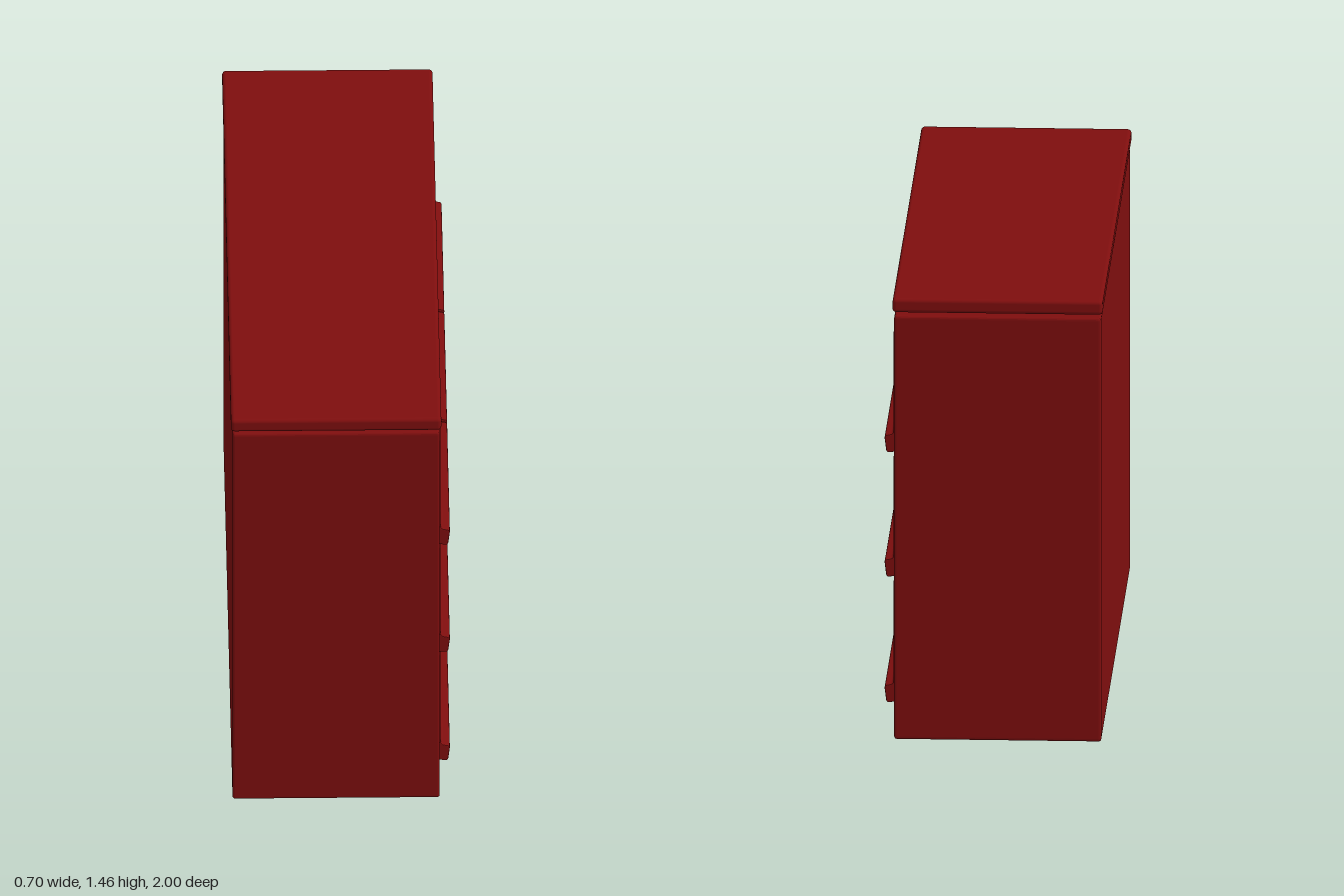
import * as THREE from 'three';
import { RoundedBoxGeometry } from 'three/addons/geometries/RoundedBoxGeometry.js';

const material = new THREE.MeshStandardMaterial({ color: 0x7f0e0e });

function add(parent, name, geometry, x = 0, y = 0, z = 0) {
  const mesh = new THREE.Mesh(geometry, material);
  mesh.name = name;
  mesh.position.set(x, y, z);
  parent.add(mesh);
  return mesh;
}

// Rounded block given by its limits on each axis
function block(parent, name, [x0, x1], [y0, y1], [z0, z1], radius) {
  const geometry = new RoundedBoxGeometry(x1 - x0, y1 - y0, z1 - z0, 3, radius);
  return add(parent, name, geometry, (x0 + x1) / 2, (y0 + y1) / 2, (z0 + z1) / 2);
}

function roundedRect(path, w, y0, y1, r) {
  path.moveTo(-w + r, y0);
  path.lineTo(w - r, y0);
  path.quadraticCurveTo(w, y0, w, y0 + r);
  path.lineTo(w, y1 - r);
  path.quadraticCurveTo(w, y1, w - r, y1);
  path.lineTo(-w + r, y1);
  path.quadraticCurveTo(-w, y1, -w, y1 - r);
  path.lineTo(-w, y0 + r);
  path.quadraticCurveTo(-w, y0, -w + r, y0);
  return path;
}

// Extrude along x, centred on the origin in x
function extrudeX(shape, length, bevel) {
  const geometry = new THREE.ExtrudeGeometry(shape, {
    depth: length - 2 * bevel, bevelThickness: bevel, bevelSize: bevel,
    bevelOffset: -bevel, bevelSegments: 3, curveSegments: 4,
  });
  return geometry.translate(0, 0, bevel - length / 2).rotateY(Math.PI / 2);
}

export function createModel() {
  const group = new THREE.Group();
  group.name = 'chestOfDrawers';

  // Carcass: a beveled shell with a wide opening, filled by a recessed core
  const back = -0.345, front = 0.315, bevel = 0.008;
  const shell = roundedRect(new THREE.Shape(), 0.99, 0, 1.403, 0.01);
  shell.holes.push(roundedRect(new THREE.Path(), 0.943, 0.102, 1.345, 0.004));
  add(group, 'carcass', extrudeX(shell, front - back, bevel), (front + back) / 2);
  const coreDepth = 0.295 - back;
  add(group, 'recessPanel', new THREE.BoxGeometry(coreDepth, 1.259, 1.902),
    back + coreDepth / 2, 0.7235, 0);

  // Top slab on a narrower neck
  block(group, 'neck', [-0.283, 0.25], [1.39, 1.425], [-0.912, 0.912], 0.003);
  block(group, 'top', [-0.35, 0.32], [1.416, 1.462], [-1, 1], 0.012);

  // Handle: a slightly tilted lip, extruded along the drawer width
  const lip = new THREE.Shape();
  lip.moveTo(0.3, 0.004);
  lip.lineTo(0.334, 0);
  lip.quadraticCurveTo(0.342, 0, 0.343, 0.008);
  lip.lineTo(0.348, 0.048);
  lip.quadraticCurveTo(0.348, 0.056, 0.341, 0.057);
  lip.lineTo(0.327, 0.06);
  lip.quadraticCurveTo(0.321, 0.062, 0.319, 0.069);
  lip.lineTo(0.3, 0.069);
  const width = 0.616;
  const lipGeometry = new THREE.ExtrudeGeometry(lip, {
    depth: width - 0.006, bevelThickness: 0.003, bevelSize: 0.003,
    bevelOffset: -0.003, bevelSegments: 2, curveSegments: 4,
  }).translate(0, 0, 0.003 - width / 2);

  // Three rows of three drawers
  const rows = [[0.107, 0.516], [0.523, 0.928], [0.935, 1.34]];
  for (const [y0, y1] of rows) {
    for (const z of [-0.627, 0, 0.627]) {
      const drawer = new THREE.Group();
      drawer.name = 'drawer';
      group.add(drawer);
      block(drawer, 'drawerFront', [0.285, 0.319], [y0, y1],
        [z - width / 2, z + width / 2], 0.007);
      add(drawer, 'handle', lipGeometry, 0, y0, z);
    }
  }
  return group;
}
